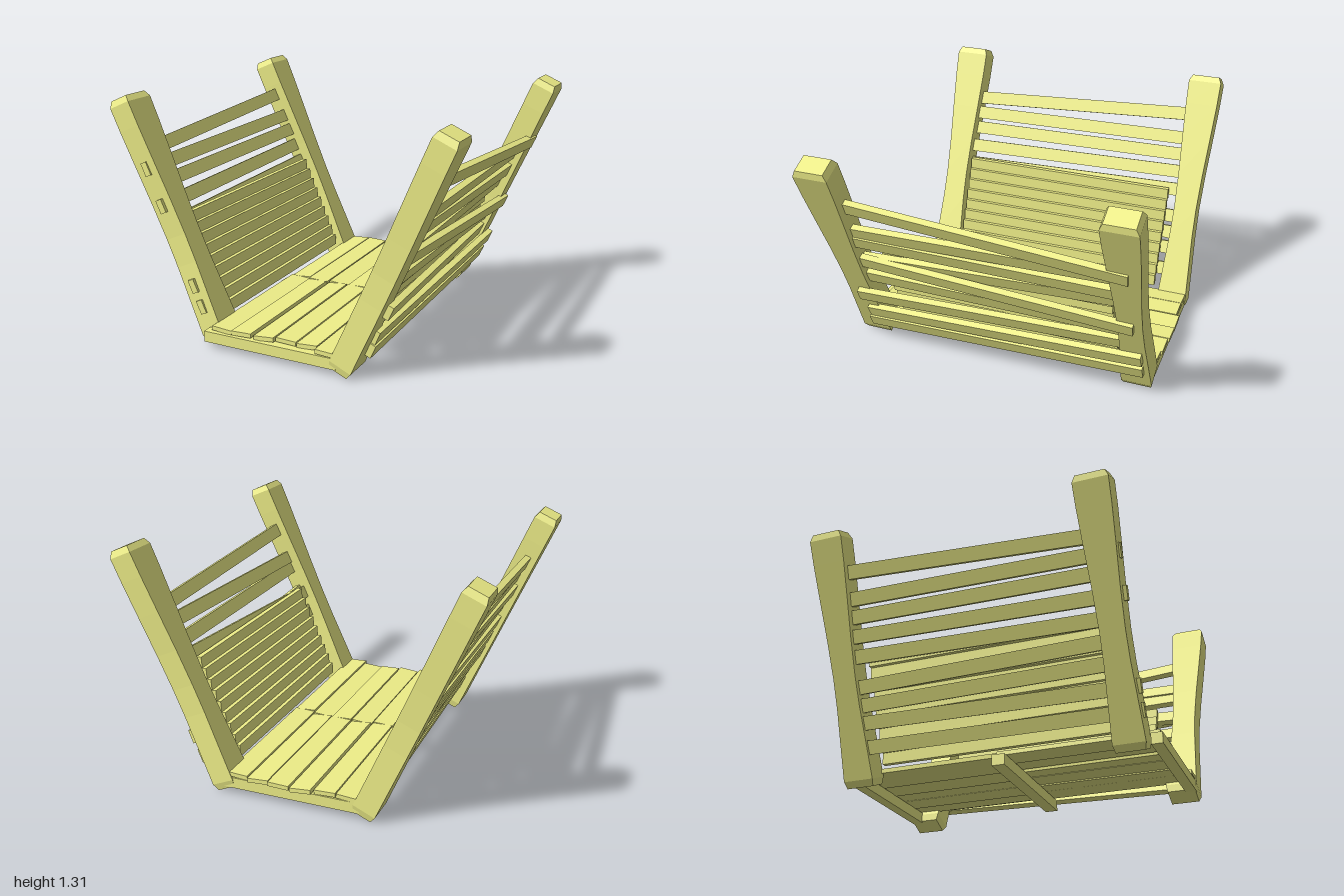
import * as THREE from 'three';

const LEAN = 0.413; // outward lean of the side walls
const wood = new THREE.MeshStandardMaterial({ color: 0xeeee88, flatShading: true });

function box(name, w, h, d, x, y, z) {
  const mesh = new THREE.Mesh(new THREE.BoxGeometry(w, h, d), wood);
  mesh.name = name;
  mesh.position.set(x, y, z);
  return mesh;
}

// Post with chamfered ends and a narrow waist; [height, x scale, z scale] per row
function postGeometry() {
  const rows = [
    [-0.01, 0.8, 0.82], [0.03, 1, 0.92], [0.2, 1, 0.84], [0.42, 1, 0.73], [0.58, 1, 0.71],
    [0.78, 1, 0.77], [1.0, 1, 0.89], [1.2, 1, 0.99], [1.335, 1, 1.02], [1.37, 0.82, 0.84],
  ];
  const n = rows.length - 1;
  const geo = new THREE.BoxGeometry(0.13, 1, 0.185, 1, n, 1);
  const p = geo.attributes.position;
  for (let i = 0; i < p.count; i++) {
    const [y, sx, sz] = rows[Math.round((p.getY(i) + 0.5) * n)];
    p.setXYZ(i, p.getX(i) * sx, y, p.getZ(i) * sz);
  }
  geo.computeVertexNormals();
  return geo;
}

// Slat between two ends given as [z, height above ground, outward offset]
function slat(side, a, b) {
  const point = ([z, y, u]) => new THREE.Vector3(side * u, (y - 0.035 + 0.4 * u) / 0.916, z);
  const from = point(b), to = point(a);
  const dir = to.clone().sub(from);
  const mesh = box('sideSlat', 0.036, 0.076, dir.length(), 0, 0, 0);
  mesh.position.copy(from).add(to).multiplyScalar(0.5);
  mesh.quaternion.setFromUnitVectors(new THREE.Vector3(0, 0, 1), dir.normalize());
  return mesh;
}

// Leaning wall: two posts, crooked outer slats and a row of inner louvres
function wall(name, side, postZ, slats, louvreZ) {
  const group = new THREE.Group();
  group.name = name;
  group.position.set(side * 0.39, 0.035, 0);
  group.rotation.z = -side * LEAN;
  const geo = postGeometry();
  postZ.forEach((z, i) => {
    const post = new THREE.Mesh(geo, wood);
    post.name = i ? 'backPost' : 'frontPost';
    post.position.z = z;
    group.add(post);
  });
  slats.forEach(([a, b]) => group.add(slat(side, a, b)));
  for (let i = 0; i < 9; i++) {
    const louvre = box('louvre', 0.03, 0.066, 1.28, -side * 0.03, 0.12 + i * 0.066, louvreZ);
    louvre.rotation.z = side * 0.35;
    group.add(louvre);
  }
  return group;
}

export function createModel() {
  const model = new THREE.Group();
  model.name = 'slattedCradle';

  // Side walls
  model.add(wall('leftWall', 1, [0.78, -0.78], [
    [[0.71, 1.02, 0], [-0.8, 0.92, 0.06]],
    [[0.72, 0.84, 0.01], [-0.71, 0.865, 0.01]],
    [[0.72, 0.775, 0.02], [-0.71, 0.755, 0.02]],
    [[0.72, 0.615, 0], [-0.71, 0.685, 0]],
    [[0.72, 0.62, 0.025], [-0.8, 0.535, 0.07]],
    [[0.72, 0.495, 0.02], [-0.71, 0.465, 0.02]],
    [[0.78, 0.365, 0.08], [-0.71, 0.365, 0.03]],
    [[0.765, 0.215, 0.07], [-0.83, 0.285, 0.08]],
    [[0.77, 0.14, 0.08], [-0.83, 0.18, 0.075]],
  ], -0.03));
  model.add(wall('rightWall', -1, [0.705, -0.78], [
    [[0.72, 1.005, 0.01], [-0.72, 1.075, 0.01]],
    [[0.795, 0.925, 0], [-0.72, 0.94, 0.01]],
    [[0.72, 0.83, 0.02], [-0.72, 0.85, 0.01]],
    [[0.795, 0.73, 0], [-0.72, 0.75, 0.02]],
    [[0.72, 0.62, 0.02], [-0.72, 0.65, 0.02]],
    [[0.72, 0.52, 0.02], [-0.72, 0.5, 0.02]],
    [[0.72, 0.42, 0.02], [-0.72, 0.41, 0.02]],
    [[0.795, 0.31, 0], [-0.72, 0.32, 0.03]],
    [[0.795, 0.2, 0], [-0.72, 0.2, 0.03]],
  ], -0.02));

  // Floor beams
  model.add(box('frontBeam', 0.78, 0.06, 0.06, -0.015, 0.07, 0.83));
  model.add(box('middleBeam', 0.82, 0.06, 0.07, 0, 0.068, 0));
  model.add(box('backBeam', 0.78, 0.06, 0.06, 0.015, 0.07, -0.83));

  // Floor planks in two rows: [x, tilt, back end, joint, front end]
  const planks = [
    [-0.307, 0.07, -0.86, -0.03, 0.84], [-0.185, -0.04, -0.86, -0.012, 0.845],
    [-0.055, -0.09, -0.88, -0.025, 0.835], [0.07, 0.03, -0.88, -0.025, 0.82],
    [0.192, -0.07, -0.87, -0.02, 0.82], [0.317, 0.05, -0.86, 0.005, 0.86],
  ];
  planks.forEach(([x, tilt, back, joint, front], i) => {
    [[back, joint, tilt], [joint + 0.004, front, -tilt]].forEach(([z0, z1, roll], row) => {
      const plank = box(row ? 'frontPlank' : 'backPlank', 0.118, 0.024, z1 - z0,
        x, 0.114 + (i % 2) * 0.003, (z0 + z1) / 2);
      plank.rotation.z = roll;
      model.add(plank);
    });
  });
  return model;
}
